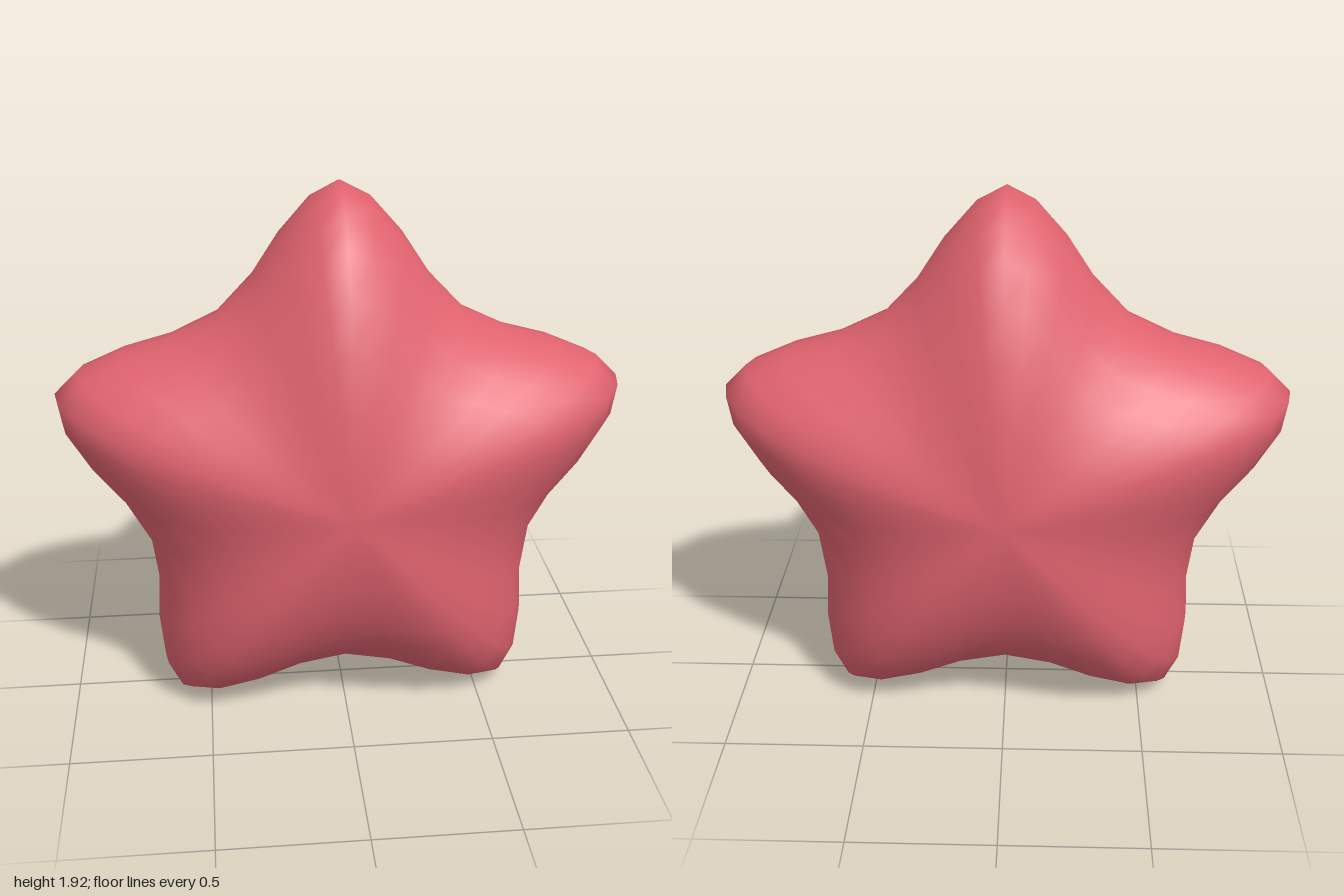
import * as THREE from 'three';

const CENTER_Y = 0.875;
const HALF_DEPTH = 0.475;
const RINGS = 16; // back pole to front pole

// One arm of the outline, tip to valley: [degrees from the tip, radius]
const HALF_ARM = [[0, 1.0515], [5.7, 1.005], [13.5, 0.9], [22.7, 0.791], [36, 0.736]];

// Full outline, counter-clockwise as seen from the front
function starOutline() {
  const arm = [
    ...HALF_ARM.slice(1).reverse().map(([a, r]) => [-a, r]),
    ...HALF_ARM.slice(0, -1),
  ];
  const points = [];
  for (let i = 0; i < 5; i++) {
    for (const [a, r] of arm) {
      const angle = THREE.MathUtils.degToRad(90 + i * 72 + a);
      points.push([r * Math.cos(angle), r * Math.sin(angle)]);
    }
  }
  return points;
}

// Star rings shrinking to a pole at front and back along an elliptical profile
function puffyStarGeometry() {
  const outline = starOutline();
  const n = outline.length;
  const positions = [0, 0, -HALF_DEPTH];
  const index = [];
  for (let j = 1; j < RINGS; j++) {
    const phi = (j / RINGS) * Math.PI;
    const s = Math.sin(phi);
    for (const [x, y] of outline) positions.push(x * s, y * s, -HALF_DEPTH * Math.cos(phi));
  }
  positions.push(0, 0, HALF_DEPTH);
  const front = positions.length / 3 - 1;
  const at = (j, i) => 1 + (j - 1) * n + (i % n);
  for (let i = 0; i < n; i++) {
    index.push(0, at(1, i + 1), at(1, i));
    for (let j = 1; j < RINGS - 1; j++) {
      index.push(at(j, i), at(j, i + 1), at(j + 1, i + 1));
      index.push(at(j, i), at(j + 1, i + 1), at(j + 1, i));
    }
    index.push(at(RINGS - 1, i), at(RINGS - 1, i + 1), front);
  }
  const geometry = new THREE.BufferGeometry();
  geometry.setAttribute('position', new THREE.Float32BufferAttribute(positions, 3));
  geometry.setIndex(index);
  geometry.computeVertexNormals();
  return geometry;
}

export function createModel() {
  const group = new THREE.Group();
  group.name = 'puffyStar';
  const coral = new THREE.MeshStandardMaterial({ color: 0xe0636f });
  coral.name = 'coral red';
  const star = new THREE.Mesh(puffyStarGeometry(), coral);
  star.name = 'starBody';
  star.position.y = CENTER_Y;
  group.add(star);
  return group;
}
